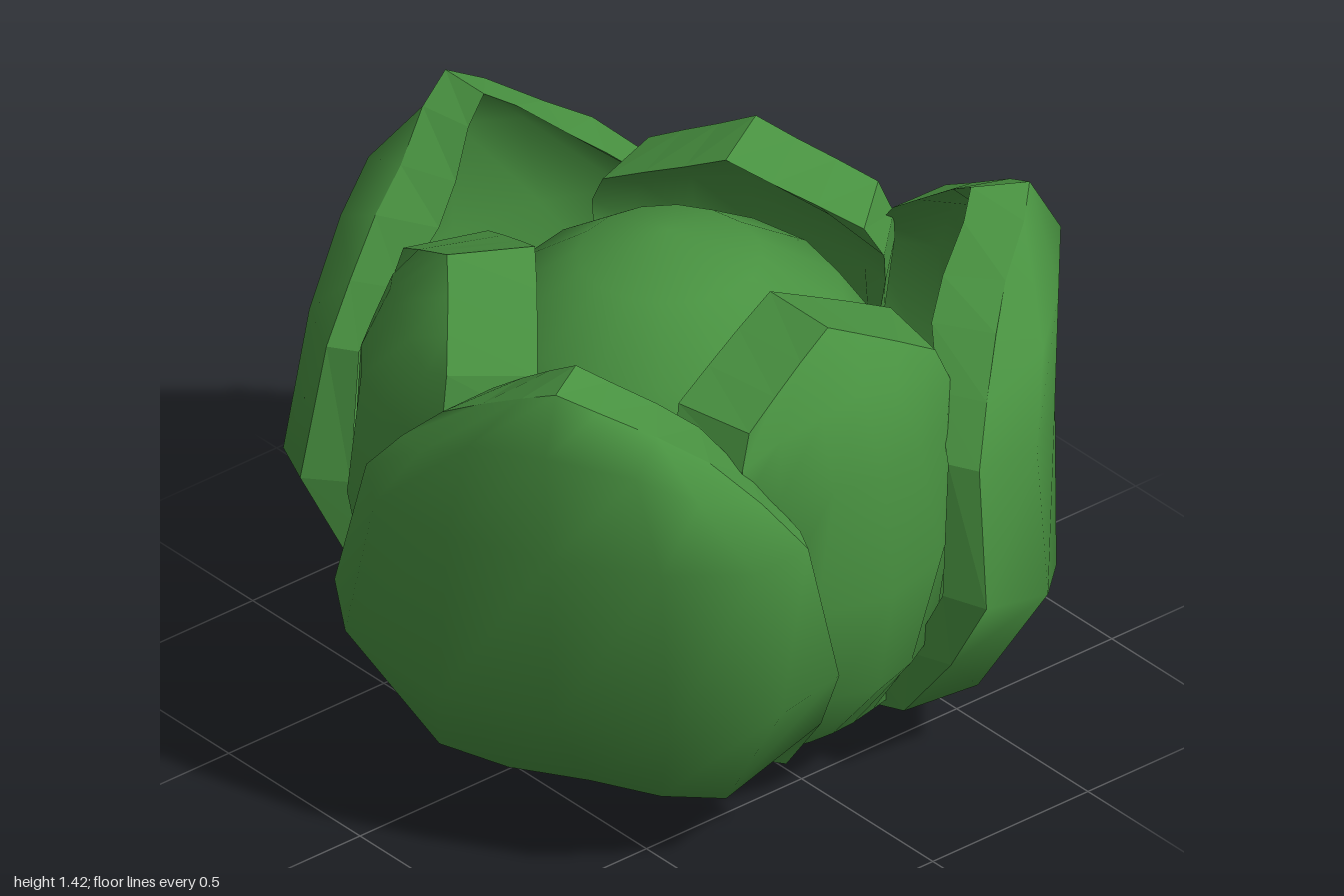
import * as THREE from 'three';
import { mergeGeometries } from 'three/addons/utils/BufferGeometryUtils.js';

// Half cross-sections, bottom to top. Each row runs from the side edge to the
// middle of the leaf as [sideways, height, distance from the axis].
const OUTER_ROWS = [
  [[0.46, 0.2, 0.485], [0.3, 0.14, 0.405], [0.15, 0.08, 0.33], [0, 0.02, 0.255]],
  [[0.585, 0.4, 0.58], [0.375, 0.2, 0.685], [0.2, 0.16, 0.67], [0, 0.14, 0.63]],
  [[0.66, 0.6, 0.655], [0.571, 0.57, 0.825], [0.3, 0.48, 0.895], [0, 0.46, 0.905]],
  [[0.578, 0.95, 0.652], [0.5, 0.95, 0.81], [0.28, 0.95, 0.895], [0, 0.95, 0.925]],
  [[0.47, 1.08, 0.69], [0.365, 1.15, 0.85], [0.22, 1.23, 0.915], [0, 1.27, 0.96]],
  [[0.35, 1.2, 0.735], [0.23, 1.275, 0.78], [0.1, 1.36, 0.85], [0, 1.41, 0.882]],
];
const INNER_ROWS = [
  [[0.2, 0.2, 0.57], [0.14, 0.195, 0.58], [0.07, 0.19, 0.59], [0, 0.19, 0.595]],
  [[0.265, 0.5, 0.615], [0.23, 0.45, 0.71], [0.12, 0.42, 0.75], [0, 0.4, 0.77]],
  [[0.31, 0.8, 0.64], [0.28, 0.75, 0.715], [0.2, 0.7, 0.77], [0, 0.7, 0.825]],
  [[0.335, 1.03, 0.655], [0.27, 1.03, 0.71], [0.14, 1.03, 0.765], [0, 1.03, 0.79]],
  [[0.335, 1.11, 0.645], [0.23, 1.17, 0.67], [0.12, 1.2, 0.695], [0, 1.23, 0.705]],
  [[0.3, 1.2, 0.63], [0.2, 1.255, 0.61], [0.1, 1.307, 0.59], [0, 1.36, 0.575]],
];

// Inside surface of each row, relative to the outside: [width factor, rise, thickness]
const OUTER_INSET = [
  [0.87, 0.07, 0.05], [0.87, 0, 0.09], [0.877, 0, 0.095],
  [0.92, 0, 0.07], [0.85, 0, 0.11], [0.77, 0, 0.147],
];
const INNER_INSET = [
  [1.13, -0.08, 0.28], [1.13, 0, 0.2], [1.13, 0, 0.2],
  [1.14, 0, 0.2], [1.14, 0, 0.2], [1.14, 0, 0.22],
];

function geometryFrom(points, index) {
  const geometry = new THREE.BufferGeometry();
  geometry.setAttribute('position', new THREE.Float32BufferAttribute(points.flat(), 3));
  if (index) geometry.setIndex(index);
  geometry.computeVertexNormals();
  return index ? geometry.toNonIndexed() : geometry;
}

// Smooth sheet through a grid of points
function sheet(grid, flip) {
  const cols = grid[0].length;
  const index = [];
  for (let i = 0; i < grid.length - 1; i++) {
    for (let j = 0; j < cols - 1; j++) {
      const a = i * cols + j, b = a + 1, c = b + cols, d = a + cols;
      index.push(...(flip ? [a, c, b, a, d, c] : [a, b, c, a, c, d]));
    }
  }
  return geometryFrom(grid.flat(), index);
}

// Boundary of a grid, counter-clockwise
function boundary(grid) {
  const last = grid[0].length - 1;
  return [
    ...grid[0],
    ...grid.slice(1, -1).map((row) => row[last]),
    ...[...grid[grid.length - 1]].reverse(),
    ...grid.slice(1, -1).map((row) => row[0]).reverse(),
  ];
}

// Thick leaf: smooth outside, smooth inside, sharp flat rim
function leafGeometry(halfRows, inset) {
  const outside = halfRows.map((half) => [
    ...half.map(([x, y, z]) => [-x, y, z]),
    ...half.slice(0, -1).reverse(),
  ]);
  const inside = outside.map((row, i) => {
    const [factor, rise, thickness] = inset[i];
    return row.map(([x, y, z]) => [x * factor, y + rise, z - thickness]);
  });

  const outerLoop = boundary(outside), innerLoop = boundary(inside);
  const rim = [];
  outerLoop.forEach((p, i) => {
    const k = (i + 1) % outerLoop.length;
    const q = outerLoop[k], p2 = innerLoop[i], q2 = innerLoop[k];
    rim.push(q, p, p2, q, p2, q2);
  });
  return mergeGeometries([sheet(outside, false), sheet(inside, true), geometryFrom(rim)]);
}

export function createModel() {
  const model = new THREE.Group();
  model.name = 'leafyHead';
  const leafGreen = new THREE.MeshStandardMaterial({ color: 0x489140 });
  leafGreen.name = 'leafGreen';

  // Common axis of the heart and the leaves, just in front of the middle
  const head = new THREE.Group();
  head.name = 'head';
  head.position.z = 0.025;
  model.add(head);

  // Rounded heart with a flattened crown and a small off-centre peak
  const heartGeometry = new THREE.SphereGeometry(1, 16, 8);
  heartGeometry.scale(0.6, 0.71, 0.6);
  const pos = heartGeometry.attributes.position;
  for (let i = 0; i < pos.count; i++) {
    const y = pos.getY(i);
    if (y <= 0) continue;
    const lift = y / 0.71;
    pos.setXYZ(i, pos.getX(i) - 0.07 * lift ** 4, y * 0.93 + 0.05 * lift ** 16,
      pos.getZ(i) + 0.045 * lift ** 4);
  }
  const heart = new THREE.Mesh(heartGeometry, leafGreen);
  heart.name = 'heart';
  heart.position.y = 0.71;
  head.add(heart);

  // Two whorls of three leaves, staggered by a sixth of a turn
  const outerLeaf = leafGeometry(OUTER_ROWS, OUTER_INSET);
  const innerLeaf = leafGeometry(INNER_ROWS, INNER_INSET);
  const addLeaf = (name, geometry, angle) => {
    const leaf = new THREE.Mesh(geometry, leafGreen);
    leaf.name = name;
    leaf.rotation.y = angle;
    head.add(leaf);
  };
  ['Front', 'BackLeft', 'BackRight'].forEach((side, i) =>
    addLeaf('innerLeaf' + side, innerLeaf, (i * 2 * Math.PI) / 3));
  ['FrontLeft', 'Back', 'FrontRight'].forEach((side, i) =>
    addLeaf('outerLeaf' + side, outerLeaf, Math.PI / 3 + (i * 2 * Math.PI) / 3));

  return model;
}
